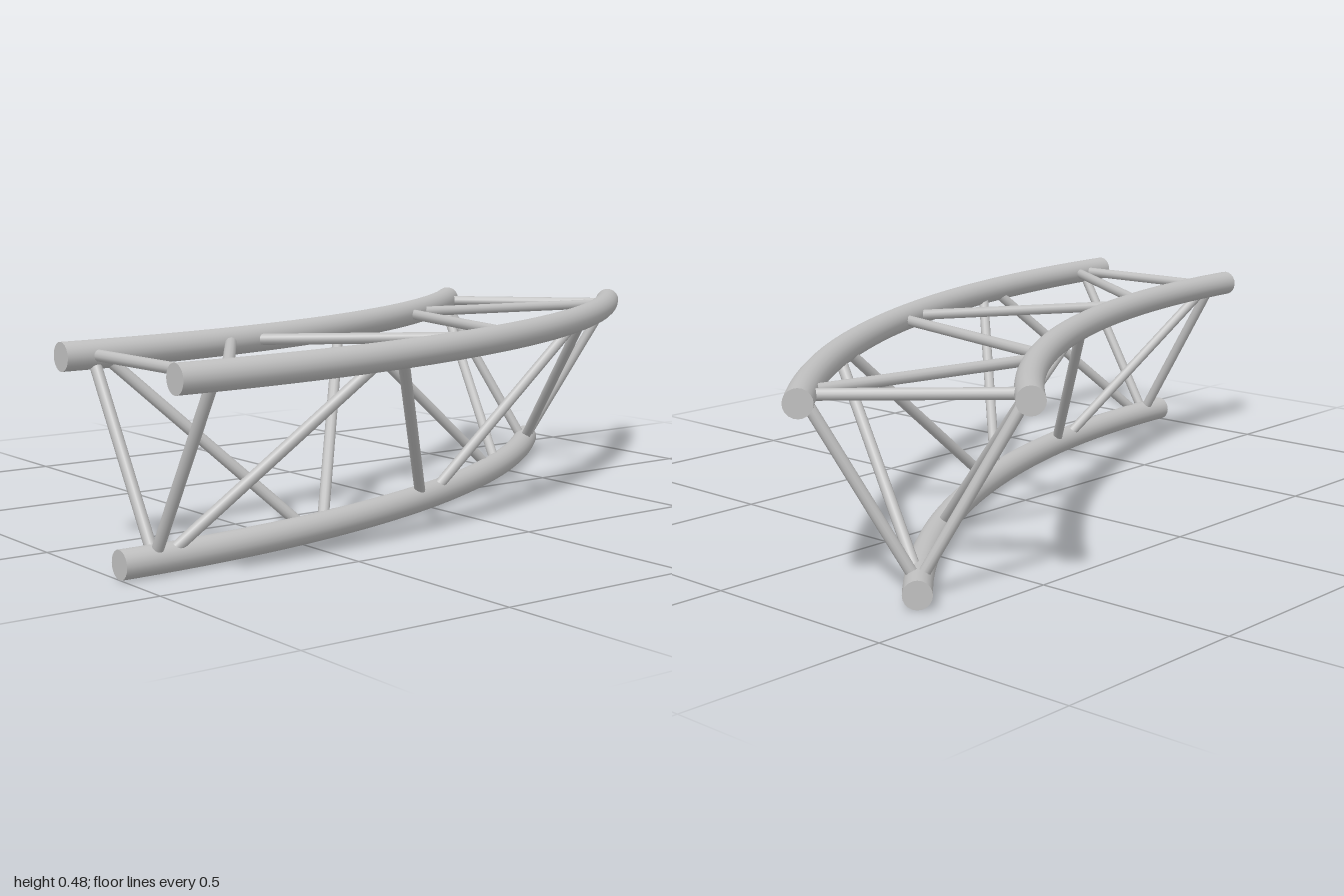
import * as THREE from 'three';

const CX = -2.223, CZ = 1;          // centre of the bend
const SWEEP = Math.PI / 4;
const TUBE_R = 0.033, STRUT_R = 0.0135;
const CHORDS = {
  outer: { r: 2.796, y: 0.451 },
  inner: { r: 2.316, y: 0.451 },
  lower: { r: 2.556, y: 0.034 },
};

// Point on a chord's centreline at an angle in degrees
function pointOn(chord, deg) {
  const a = THREE.MathUtils.degToRad(deg);
  return new THREE.Vector3(CX + chord.r * Math.cos(a), chord.y, CZ - chord.r * Math.sin(a));
}

// Node angles along the bend
const node = (k) => 1.9 + 10.3 * k;

export function createModel() {
  const model = new THREE.Group();
  const metal = new THREE.MeshStandardMaterial({ color: 0xc0c0c0 });
  metal.name = 'grey metal';

  function add(name, geometry, parent) {
    const mesh = new THREE.Mesh(geometry, metal);
    mesh.name = name;
    parent.add(mesh);
    return mesh;
  }

  function strut(name, a, b) {
    const dir = b.clone().sub(a);
    const mesh = add(name, new THREE.CylinderGeometry(STRUT_R, STRUT_R, dir.length(), 12), model);
    mesh.position.copy(a).add(b).multiplyScalar(0.5);
    mesh.quaternion.setFromUnitVectors(new THREE.Vector3(0, 1, 0), dir.normalize());
  }

  // Curved chord tubes with flat end caps
  for (const [name, { r, y }] of Object.entries(CHORDS)) {
    const chord = new THREE.Group();
    chord.name = name + 'Chord';
    chord.position.set(CX, y, CZ);
    add(name + 'Tube', new THREE.TorusGeometry(r, TUBE_R, 20, 40, SWEEP).rotateX(-Math.PI / 2), chord);
    add(name + 'FrontCap', new THREE.CircleGeometry(TUBE_R, 20).translate(r, 0, 0), chord);
    const back = add(name + 'BackCap', new THREE.CircleGeometry(TUBE_R, 20).rotateY(Math.PI + SWEEP), chord);
    back.position.set(r * Math.cos(SWEEP), 0, -r * Math.sin(SWEEP));
    model.add(chord);
  }

  // Each side: the first chord holds the even nodes, the second the odd nodes
  const sides = [
    ['top', CHORDS.outer, CHORDS.inner],
    ['outerSide', CHORDS.lower, CHORDS.outer],
    ['innerSide', CHORDS.inner, CHORDS.lower],
  ];
  for (const [name, even, odd] of sides) {
    // Straight struts closing both ends
    for (const k of [0, 4]) strut(name + 'EndStrut', pointOn(even, node(k)), pointOn(odd, node(k)));
    // Zigzag bracing
    for (let k = 0; k < 4; k++) {
      const [from, to] = k % 2 ? [odd, even] : [even, odd];
      strut(name + 'Brace', pointOn(from, node(k) + 0.6), pointOn(to, node(k + 1) - 0.6));
    }
  }
  return model;
}
